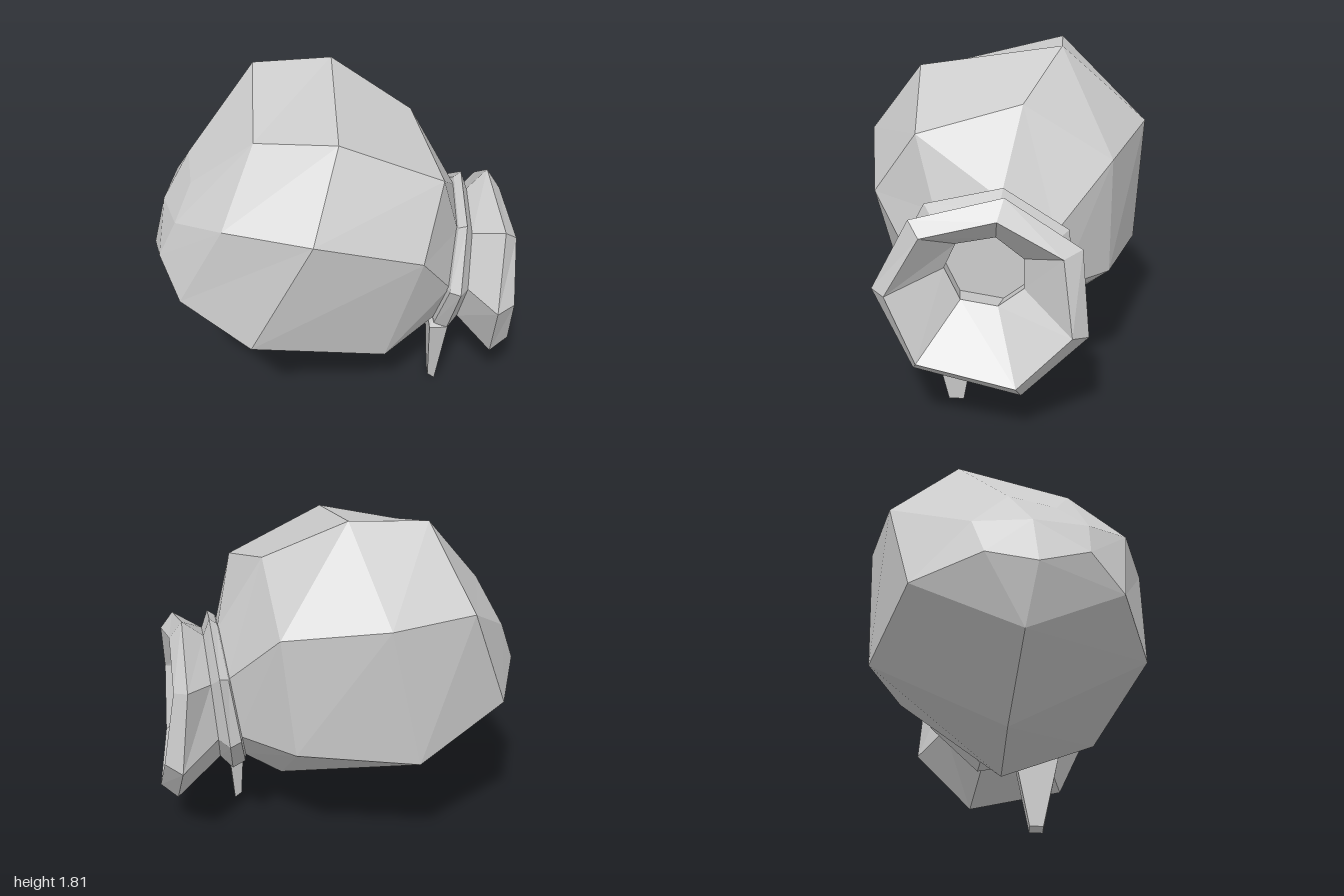
import * as THREE from 'three';

const SIDES = 7;
const material = new THREE.MeshStandardMaterial({ color: 0xcccccc, flatShading: true });

// Skins a list of rings, each a list of [x, y, z] corners, running from -x to +x.
function loft(name, rings) {
  const pos = [];
  const same = (p, q) => p.every((v, i) => v === q[i]);
  const tri = (a, b, c) => {
    if (!same(a, b) && !same(b, c) && !same(a, c)) pos.push(...a, ...b, ...c);
  };
  for (let i = 0; i < rings.length - 1; i++) {
    const r = rings[i], s = rings[i + 1], n = r.length;
    for (let k = 0; k < n; k++) {
      const j = (k + 1) % n;
      tri(r[k], s[k], s[j]);
      tri(r[k], s[j], r[j]);
    }
  }
  const geo = new THREE.BufferGeometry();
  geo.setAttribute('position', new THREE.Float32BufferAttribute(pos, 3));
  geo.computeVertexNormals();
  const mesh = new THREE.Mesh(geo, material);
  mesh.name = name;
  return mesh;
}

const point = (p, n = SIDES) => Array.from({ length: n }, () => p);

// Uneven seven-sided outline of the mouth
const flare = [
  [0.87, 1.13, 0.40], [0.83, 1.24, -0.06], [0.83, 0.99, -0.44], [0.88, 0.55, -0.48],
  [0.91, 0.23, -0.15], [0.85, 0.33, 0.40], [0.83, 0.75, 0.60],
];

// Same outline shrunk around the neck and set on a slightly leaning plane
const neckRing = (x, scale, cy, lean = 0.08) => flare.map(([, y, z]) => {
  const dy = (y - 0.74) * scale;
  return [x + lean * dy, cy + dy, 0.06 + (z - 0.06) * scale];
});

export function createModel() {
  const group = new THREE.Group();

  // Rounded sack, from the closed end to the gathered neck
  const closedEnd = [
    [-0.76, 1.35, 0.21], [-0.79, 1.39, -0.04], [-0.89, 1.17, -0.23], [-0.98, 0.95, -0.17],
    [-1.0, 0.9, 0.09], [-0.94, 0.99, 0.35], [-0.84, 1.2, 0.36],
  ];
  const backBulge = [
    [-0.42, 1.64, 0.32], [-0.44, 1.79, -0.29], [-0.6, 1.4, -0.65], [-0.82, 0.85, -0.53],
    [-0.9, 0.59, 0.03], [-0.83, 0.82, 0.53], [-0.58, 1.3, 0.6],
  ];
  const widest = [
    [0, 1.7, 0.46], [-0.02, 1.81, -0.3], [-0.15, 1.38, -0.76], [-0.32, 0.63, -0.73],
    [-0.46, 0.26, -0.02], [-0.46, 0.63, 0.7], [-0.13, 1.31, 0.76],
  ];
  const shoulder = [
    [0.53, 1.46, 0.41], [0.4, 1.59, -0.12], [0.37, 1.3, -0.58], [0.3, 0.66, -0.58],
    [0.31, 0.25, 0], [0.25, 0.42, 0.52], [0.42, 1.12, 0.65],
  ];
  group.add(loft('sackBody', [
    point([-0.93, 1.17, 0.07]), closedEnd, backBulge, widest, shoulder,
    neckRing(0.59, 0.72, 0.81, 0.15),
  ]));

  // Tie wrapped round the neck
  group.add(loft('neckTie', [
    neckRing(0.57, 0.7, 0.81, 0.15), neckRing(0.585, 0.8, 0.81, 0.15),
    neckRing(0.64, 0.86, 0.81, 0.1), neckRing(0.69, 0.7, 0.79),
  ]));

  // Flared mouth with a thick rim, a funnel and a closed throat
  const rim = [
    [0.94, 1.06, 0.34], [0.9, 1.14, -0.03], [0.9, 0.96, -0.35], [0.97, 0.58, -0.4],
    [1, 0.31, -0.13], [0.95, 0.4, 0.37], [0.93, 0.75, 0.52],
  ];
  const throat = [
    [0.73, 0.96, 0.19], [0.73, 1, -0.01], [0.73, 0.89, -0.15], [0.73, 0.73, -0.15],
    [0.73, 0.63, -0.02], [0.73, 0.66, 0.17], [0.73, 0.83, 0.25],
  ];
  const floor = throat.map(([, y, z]) => [0.55, 0.82 + (y - 0.82) * 1.2, 0.05 + (z - 0.05) * 1.2]);
  group.add(loft('flaredMouth', [
    neckRing(0.69, 0.7, 0.79), flare, rim, throat, floor, point([0.55, 0.82, 0.05]),
  ]));

  // Loose tapered end of the tie, hanging to the ground
  const strapRing = (y, x0, x1, z0, z1, slope) => [
    [x0, y + slope, z1], [x0, y + slope, z0], [x1, y, z0], [x1, y, z1],
  ];
  group.add(loft('tieEnd', [
    point([0.55, 0.015, 0.22], 4),
    strapRing(0, 0.53, 0.57, 0.18, 0.26, 0.03),
    strapRing(0.47, 0.51, 0.61, 0.09, 0.36, 0),
    point([0.56, 0.5, 0.22], 4),
  ]));

  return group;
}
